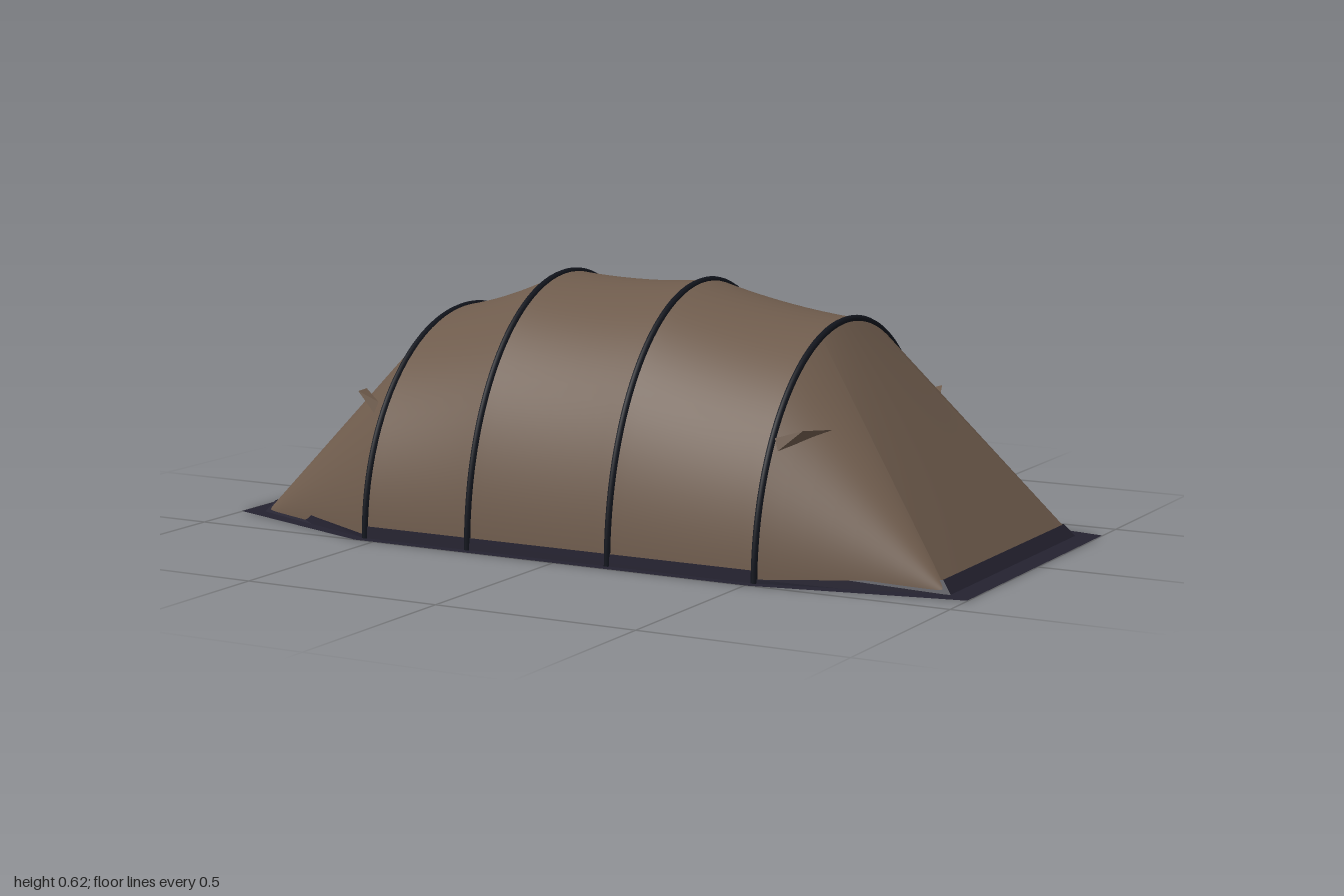
import * as THREE from 'three';

const mat = (name, color) => {
  const m = new THREE.MeshStandardMaterial({ color, side: THREE.DoubleSide });
  m.name = name;
  return m;
};

// Smooth surface through fn(u, v) -> [x, y, z]
function grid(nu, nv, fn) {
  const pos = [], idx = [];
  for (let i = 0; i <= nu; i++)
    for (let j = 0; j <= nv; j++) pos.push(...fn(i / nu, j / nv));
  for (let i = 0; i < nu; i++)
    for (let j = 0; j < nv; j++) {
      const a = i * (nv + 1) + j, b = a + nv + 1;
      idx.push(a, b, a + 1, b, b + 1, a + 1);
    }
  const g = new THREE.BufferGeometry();
  g.setAttribute('position', new THREE.Float32BufferAttribute(pos, 3));
  g.setIndex(idx);
  g.computeVertexNormals();
  return g;
}

const HALF = 0.475; // half width of every arch
const arches = [
  { x: -0.54, h: 0.513 }, { x: -0.25, h: 0.613 },
  { x: 0.13, h: 0.613 }, { x: 0.51, h: 0.543 },
];
const ends = [
  { s: -1, arch: arches[0], x: -0.94, z: 0.32, crease: 0.13 },
  { s: 1, arch: arches[3], x: 0.94, z: 0.37, crease: 0.14 },
];
// Point on an arch; angle 0 is the +z foot, PI the -z foot
const archPoint = (a, t) => [a.x, a.h * Math.sin(t), HALF * Math.cos(t)];
const mix = (p, q, t) => p.map((v, i) => v + (q[i] - v) * t);

export function createModel() {
  const tent = new THREE.Group();
  tent.name = 'tunnelTent';
  const fabric = mat('brown fabric', 0x6e5b4c);
  const trim = mat('dark trim', 0x242230);
  const poleMat = mat('black pole', 0x12151d);
  const add = (name, geo, m) => {
    const mesh = new THREE.Mesh(geo, m);
    mesh.name = name;
    tent.add(mesh);
  };

  // Tunnel sections, sagging slightly between the poles
  for (let k = 0; k < 3; k++) {
    const a = arches[k], b = arches[k + 1];
    add('tunnelSection', grid(10, 48, (u, v) => {
      const sag = 0.01 * 4 * u * (1 - u);
      const h = a.h + (b.h - a.h) * u - sag;
      return archPoint({ x: a.x + (b.x - a.x) * u, h }, Math.PI * v);
    }), fabric);
  }

  // Pole sleeves
  for (const a of arches) {
    const pts = [];
    for (let i = 0; i <= 48; i++) pts.push(new THREE.Vector3(...archPoint(a, Math.PI * i / 48)));
    add('poleSleeve', new THREE.TubeGeometry(new THREE.CatmullRomCurve3(pts), 64, 0.008, 8), poleMat);
  }

  // Sloping ends: flat centre panel and a fanned panel on each side
  for (const e of ends) {
    const t0 = Math.acos(e.crease / HALF);
    add('endPanel', grid(16, 8, (u, v) =>
      mix(archPoint(e.arch, t0 + (Math.PI - 2 * t0) * u), [e.x, 0, e.z * (1 - 2 * u)], v)), fabric);
    for (const side of [1, -1]) {
      add('endSidePanel', grid(24, 8, (u, v) => {
        const p = mix(archPoint(e.arch, t0 * u), [e.x, 0, e.z], v);
        return [p[0], p[1], p[2] * side];
      }), fabric);

      // Hooded vent
      const o = e.arch.x, s = e.s;
      const P = (x, y, z) => [o + s * x, y, z * side];
      const A = P(0.01, 0.32, 0.395), B = P(0.108, 0.333, 0.3);
      const C = P(0.075, 0.34, 0.385), D = P(0.02, 0.292, 0.4);
      const g = new THREE.BufferGeometry();
      g.setAttribute('position', new THREE.Float32BufferAttribute(
        [A, C, B, A, D, C, D, B, C].flat(), 3));
      g.computeVertexNormals();
      add('vent', g, fabric);
    }
  }

  // Trim band along the foot of the fabric, outside and inside
  const halfRing = [];
  const endFoot = (e) => {
    const corner = [e.x, 0, e.z], t0 = Math.acos(e.crease / HALF);
    const crest = archPoint(e.arch, t0);
    const foot = [e.arch.x, 0, HALF];
    const mid = mix(foot, corner, 0.5);
    return [
      [corner, mix(corner, crest, 0.03 / crest[1])],
      [mid, [mid[0] - e.s * 0.01, 0.02, mid[2] + 0.001]],
      [foot, [e.arch.x, 0.01, HALF]],
      [foot, [e.arch.x, 0.03, HALF - 0.001]],
    ];
  };
  halfRing.push(...endFoot(ends[0]), ...endFoot(ends[1]).reverse());
  const mirrored = halfRing.map((c) => c.map(([x, y, z]) => [x, y, -z])).reverse();
  const ring = [...halfRing, ...mirrored, halfRing[0]];
  for (const k of [1.006, 0.994]) {
    const g = grid(ring.length - 1, 1, (u, v) => {
      const [x, y, z] = ring[Math.round(u * (ring.length - 1))][Math.round(v)];
      return [x * k, y, z * k];
    }).toNonIndexed();
    g.computeVertexNormals();
    add('footTrim', g, trim);
  }

  // Flat ground skirt
  const loop = (half) => [...half, ...half.map(([x, z]) => [x, -z]).reverse()]
    .map(([x, z]) => new THREE.Vector2(x, z));
  const skirt = new THREE.Shape(loop([[-1, 0.345], [-0.55, 0.505], [0.51, 0.505], [1, 0.408]]));
  skirt.holes.push(new THREE.Path(loop([[-0.93, 0.315], [-0.54, 0.468], [0.51, 0.468], [0.93, 0.362]])));
  add('groundSkirt', new THREE.ShapeGeometry(skirt).rotateX(-Math.PI / 2).translate(0, 0.001, 0), trim);

  return tent;
}
